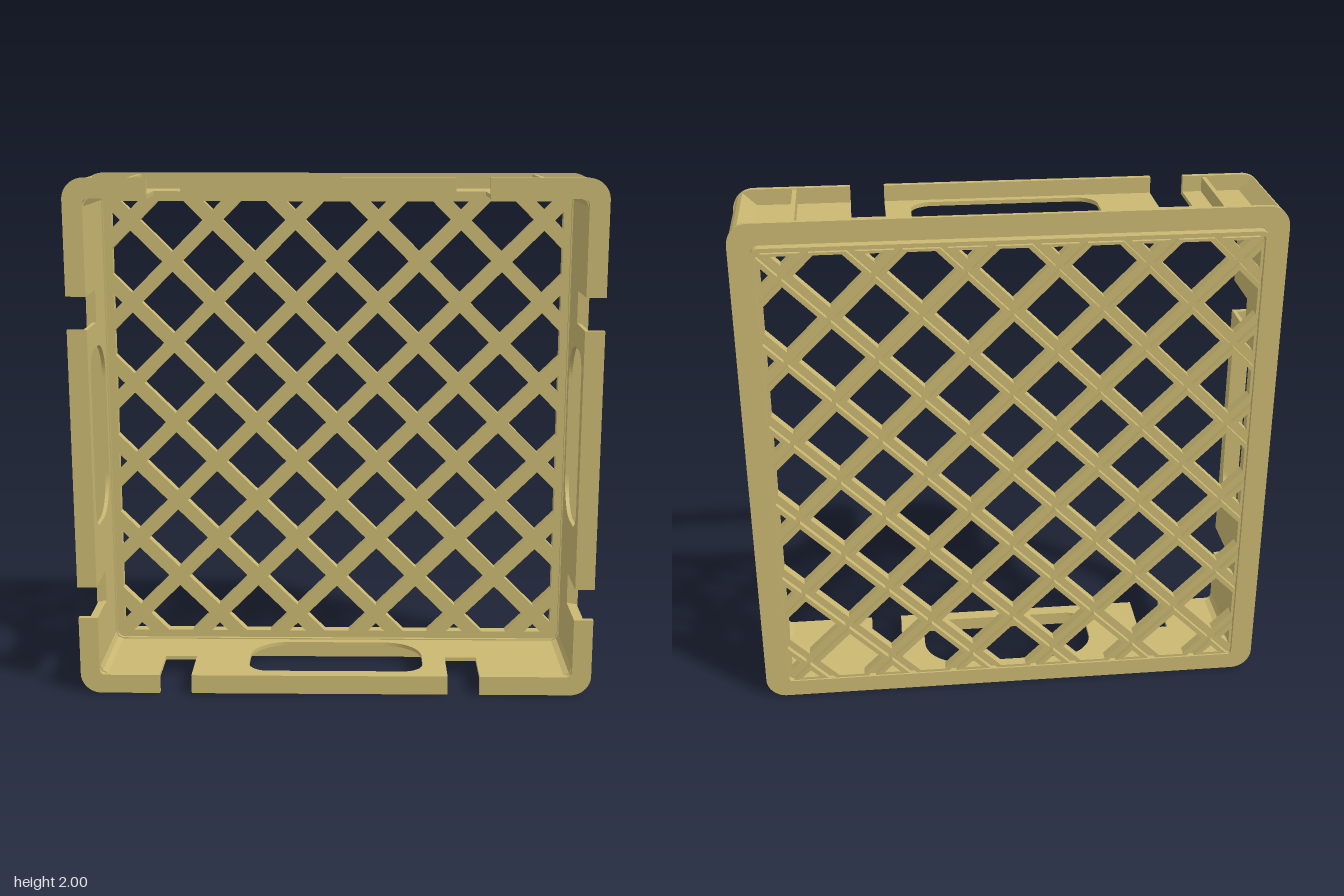
import * as THREE from 'three';

const ZF = 0.227, ZB = -0.227;      // open rim, foot
const FLANGE = -0.19, FLOOR = -0.185; // rear flange back face, floor inner face
const IN = 0.925, OUT = 0.94;       // wall inner and outer faces
const EDGE = 0.89;                  // lattice opening limit
const PITCH = 0.1633;               // half the lattice diagonal

// Rounded rectangle with its own radius at the low-y and high-y corners
function roundRect(path, x0, y0, x1, y1, rLow, rHigh = rLow) {
  path.moveTo(x0 + rLow, y0);
  path.lineTo(x1 - rLow, y0);
  path.absarc(x1 - rLow, y0 + rLow, rLow, -Math.PI / 2, 0);
  path.lineTo(x1, y1 - rHigh);
  path.absarc(x1 - rHigh, y1 - rHigh, rHigh, 0, Math.PI / 2);
  path.lineTo(x0 + rHigh, y1);
  path.absarc(x0 + rHigh, y1 - rHigh, rHigh, Math.PI / 2, Math.PI);
  path.lineTo(x0, y0 + rLow);
  path.absarc(x0 + rLow, y0 + rLow, rLow, Math.PI, Math.PI * 1.5);
  return path;
}

const poly = pts => new THREE.Shape(pts.map(([x, y]) => new THREE.Vector2(x, y)));

// Diamond of half-diagonal h clipped to the square of half-size lim
function clippedDiamond(cx, cy, h, lim) {
  let pts = [[cx + h, cy], [cx, cy + h], [cx - h, cy], [cx, cy - h]];
  for (const [axis, sign] of [[0, 1], [0, -1], [1, 1], [1, -1]]) {
    const next = [];
    pts.forEach((a, i) => {
      const b = pts[(i + 1) % pts.length];
      const da = lim - sign * a[axis], db = lim - sign * b[axis];
      if (da >= 0) next.push(a);
      if (da * db < 0) {
        const t = da / (da - db);
        next.push([a[0] + (b[0] - a[0]) * t, a[1] + (b[1] - a[1]) * t]);
      }
    });
    pts = next;
  }
  return pts;
}

export function createModel() {
  const tan = new THREE.MeshStandardMaterial({ color: 0xc9b771 });
  tan.name = 'tan plastic';
  const root = new THREE.Group();
  root.name = 'crate';
  root.position.y = 1;

  function add(parent, name, geometry) {
    const mesh = new THREE.Mesh(geometry, tan);
    mesh.name = name;
    parent.add(mesh);
    return mesh;
  }
  function slab(shape, z0, z1) {
    const g = new THREE.ExtrudeGeometry(shape, { depth: z1 - z0, bevelEnabled: false, curveSegments: 10 });
    return g.translate(0, 0, z0);
  }
  function box(parent, name, x0, x1, y0, y1, z0, z1) {
    add(parent, name, new THREE.BoxGeometry(x1 - x0, y1 - y0, z1 - z0))
      .position.set((x0 + x1) / 2, (y0 + y1) / 2, (z0 + z1) / 2);
  }
  const squareRing = (o, ro, i, ri) => {
    const s = roundRect(new THREE.Shape(), -o, -o, o, o, ro);
    s.holes.push(roundRect(new THREE.Path(), -i, -i, i, i, ri));
    return s;
  };

  // Lattice floor: a plate with diamond openings, each edged by a rib behind
  const floor = new THREE.Group();
  floor.name = 'latticeFloor';
  root.add(floor);
  const plate = roundRect(new THREE.Shape(), -0.92, -0.92, 0.92, 0.92, 0.03);
  const ribShapes = [];
  const h = PITCH - 0.04;
  for (let i = -6; i <= 6; i++) {
    for (let j = -6; j <= 6; j++) {
      if ((i + j) % 2 === 0) continue;
      const hole = clippedDiamond(i * PITCH, j * PITCH, h, EDGE);
      if (hole.length < 3) continue;
      const ring = poly(clippedDiamond(i * PITCH, j * PITCH, h + 0.025, EDGE + 0.01));
      plate.holes.push(poly(hole));
      ring.holes.push(poly(hole));
      ribShapes.push(ring);
    }
  }
  add(floor, 'floorPlate', slab(plate, FLOOR - 0.02, FLOOR));
  add(floor, 'floorRibs', slab(ribShapes, ZB, FLOOR - 0.02));
  add(floor, 'footRing', slab(squareRing(0.92, 0.03, 0.905, 0.015), ZB, FLOOR - 0.02));

  // Rear flange around the floor
  add(root, 'rearFlange', slab(squareRing(1, 0.08, 0.92, 0.03), FLANGE, -0.172));

  // One side, made at the top: wall, rim strips and ribs
  function makeSide(name, angle, mirrored) {
    const side = new THREE.Group();
    side.name = name;
    side.rotation.z = angle;
    root.add(side);
    const cuts = mirrored ? [[-0.565, -0.44], [0.565, 0.69]] : [[-0.69, -0.565], [0.44, 0.565]];

    // Wall outline with two notches in the rim and a hand hole
    const pts = [[-IN, FLANGE], [IN, FLANGE], [IN, ZF]];
    for (const [a, b] of [cuts[1], cuts[0]]) pts.push([b, ZF], [b, 0.025], [a, 0.025], [a, ZF]);
    pts.push([-IN, ZF]);
    const wall = poly(pts);
    wall.holes.push(roundRect(new THREE.Path(), -0.347, -0.14, 0.347, 0.175, 0.15, 0.08));
    const g = slab(wall, 0, OUT - IN);
    g.rotateX(Math.PI / 2).translate(0, OUT, 0);
    add(side, 'wall', g);

    // Rim strips between the notches
    const ends = [-0.9, ...cuts.flat(), 0.9];
    for (let k = 0; k < 6; k += 2) box(side, 'rimStrip', ends[k], ends[k + 1], OUT, 1, 0.205, ZF);

    // Upright ribs near the corners
    for (const s of [-1, 1]) box(side, 'rib', s * 0.77 - 0.008, s * 0.77 + 0.008, OUT, 0.995, -0.172, 0.205);
  }
  makeSide('topSide', 0, false);
  makeSide('leftSide', -Math.PI / 2, true);
  makeSide('bottomSide', Math.PI, true);
  makeSide('rightSide', Math.PI / 2, false);

  // Corners: sloped post between the flanges and a rounded rim cap
  const post = poly([[0.895, IN], [0.916, 0.916], [IN, 0.895], [OUT, 0.91],
    [0.988, 0.96], [0.976, 0.976], [0.96, 0.988], [0.91, OUT]]);
  const cap = new THREE.Shape();
  cap.moveTo(0.9, IN);
  cap.quadraticCurveTo(IN, IN, IN, 0.9);
  cap.lineTo(1, 0.9);
  cap.lineTo(1, 0.92);
  cap.absarc(0.92, 0.92, 0.08, 0, Math.PI / 2);
  cap.lineTo(0.9, 1);
  for (let k = 0; k < 4; k++) {
    const corner = new THREE.Group();
    corner.name = 'corner';
    corner.rotation.z = k * Math.PI / 2;
    root.add(corner);
    add(corner, 'cornerPost', slab(post, FLANGE, 0.205));
    add(corner, 'cornerRim', slab(cap, 0.205, ZF));
  }

  const model = new THREE.Group();
  model.name = 'stackingCrate';
  model.add(root);
  return model;
}
